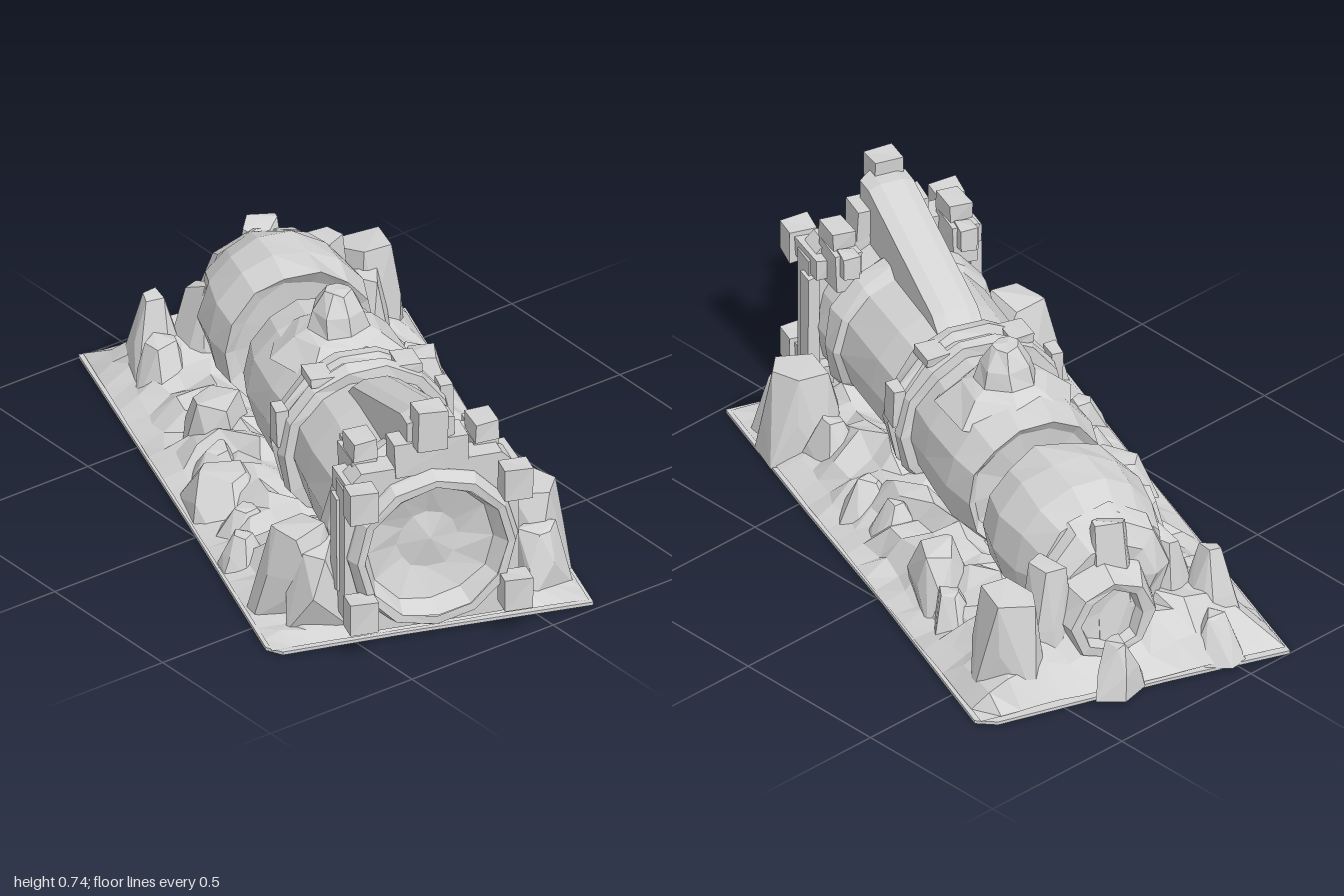
import * as THREE from 'three';
import { ConvexGeometry } from 'three/addons/geometries/ConvexGeometry.js';

const stone = new THREE.MeshStandardMaterial({ color: 0xd4d4d4, flatShading: true, side: THREE.DoubleSide });
stone.name = 'grey stone';

// Repeatable noise in -1..1 from a position
function noise(x, y, z) {
  const s = Math.sin(x * 127.1 + y * 311.7 + z * 74.7) * 43758.5453;
  return (s - Math.floor(s)) * 2 - 1;
}

// Shifts each vertex a little; matching positions stay together
function roughen(geo, amount) {
  const p = geo.attributes.position;
  for (let i = 0; i < p.count; i++) {
    const [x, y, z] = [p.getX(i), p.getY(i), p.getZ(i)].map(v => Math.round(v * 1000) / 1000 + 0);
    p.setXYZ(i, x + amount * noise(x, y, z), y + amount * noise(z, x, y), z + amount * noise(y, z, x));
  }
  geo.computeVertexNormals();
  return geo;
}

// Ground slopes up from every edge, banks against the cylinder and heaps at the rear
function groundHeight(u, v) {
  const edge = Math.min(u + 0.893, 0.87 - u, 0.478 - Math.abs(v));
  const ramp = Math.min(1, Math.max(0, edge / 0.16));
  const bank = (v < 0 ? 0.09 : 0.05) * Math.max(0, 1 - Math.abs(Math.abs(v) - 0.23) / 0.2);
  const rear = 0.06 * Math.min(1, Math.max(0, (-0.5 - u) / 0.2));
  const front = u > 0.7 ? 0.5 : 1;
  return 0.01 + ramp * front * (0.065 + bank + rear + 0.03 * noise(u, v, 1));
}

const toPoints = list => list.map(p => new THREE.Vector2(p[0], p[1]));

export function createModel() {
  const root = new THREE.Group();
  root.name = 'ruinedCylinder';
  // Everything is laid out along x, then turned to lie diagonally
  const body = new THREE.Group();
  body.name = 'body';
  body.rotation.y = -0.342;
  root.add(body);

  const add = (name, geo, x = 0, y = 0, z = 0) => {
    const mesh = new THREE.Mesh(geo, stone);
    mesh.name = name;
    mesh.position.set(x, y, z);
    body.add(mesh);
  };
  const box = (name, w, h, d, x, y, z) => add(name, roughen(new THREE.BoxGeometry(w, h, d), 0.004), x, y, z);

  // Ground slab with uneven top
  const outline = new THREE.Shape(toPoints([[-0.893, 0.478], [-0.885, 0.1], [-0.893, -0.42], [-0.86, -0.478], [-0.2, -0.47],
    [0.3, -0.478], [0.87, -0.478], [0.865, 0.1], [0.87, 0.44], [0.83, 0.478], [0.1, 0.472]]));
  const slab = new THREE.ExtrudeGeometry(outline, { depth: 0.01, bevelEnabled: false });
  add('groundSlab', slab.rotateX(Math.PI / 2), 0, 0.01, 0);
  const ground = new THREE.PlaneGeometry(1.74, 0.936, 26, 15).rotateX(-Math.PI / 2).translate(-0.012, 0, 0);
  const gp = ground.attributes.position;
  for (let i = 0; i < gp.count; i++) {
    const u = gp.getX(i), v = gp.getZ(i);
    gp.setY(i, groundHeight(u, v));
    if (Math.abs(v) < 0.45 && Math.abs(u) < 0.83) {
      gp.setX(i, u + 0.022 * noise(v, u, 3));
      gp.setZ(i, v + 0.022 * noise(u, v, 5));
    }
  }
  ground.computeVertexNormals();
  add('ground', ground);

  // Turned sections along the axis, profile as [radius, position]
  const turned = (name, sides, rough, y, profile, z = 0) => {
    const geo = new THREE.LatheGeometry(toPoints(profile), sides).rotateZ(-Math.PI / 2);
    add(name, roughen(geo, rough), 0, y, z);
  };
  turned('rearOpening', 8, 0.006, 0.2, [[0, -0.76], [0.09, -0.77], [0.095, -0.815], [0.125, -0.815], [0.155, -0.74], [0.18, -0.64]], -0.03);
  turned('rearShoulder', 9, 0.01, 0.275, [[0, -0.72], [0.13, -0.73], [0.185, -0.7], [0.2, -0.64]]);
  turned('rearSection', 14, 0.008, 0.275, [[0, -0.66], [0.19, -0.66], [0.23, -0.56], [0.238, -0.44], [0.225, -0.33], [0.19, -0.345], [0, -0.37]]);
  turned('middleSection', 14, 0.006, 0.275, [[0, -0.18], [0.185, -0.195], [0.213, -0.215], [0.232, -0.11], [0.232, 0.05], [0.22, 0.18], [0, 0.18]]);
  turned('collar', 14, 0.005, 0.28, [[0.2, 0.16], [0.25, 0.165], [0.26, 0.2], [0.235, 0.21], [0.235, 0.235], [0.26, 0.245], [0.25, 0.285], [0.2, 0.29]]);
  turned('frontSection', 14, 0.006, 0.28, [[0, 0.27], [0.22, 0.28], [0.23, 0.42], [0.228, 0.62], [0.25, 0.64], [0.255, 0.69], [0.235, 0.71], [0.24, 0.82], [0, 0.82]]);
  turned('frontRing', 12, 0.003, 0.28, [[0.2, 0.82], [0.252, 0.84], [0.25, 0.88], [0.235, 0.915], [0.21, 0.915]]);
  turned('frontDish', 12, 0.006, 0.28, [[0.21, 0.915], [0.185, 0.86], [0.09, 0.83], [0, 0.845]]);

  // Squarish plate behind the front ring
  const h = 0.258, c = 0.05;
  const plate = new THREE.Shape(toPoints([[-h + c, -h], [h - c, -h], [h, -h + c], [h, h - c], [h - c, h], [-h + c, h], [-h, h - c], [-h, -h + c]]));
  plate.holes.push(new THREE.Path().absarc(0, 0, 0.21, 0, Math.PI * 2, true));
  const plateGeo = new THREE.ExtrudeGeometry(plate, { depth: 0.08, bevelEnabled: false, curveSegments: 6 });
  add('frontPlate', plateGeo.rotateY(Math.PI / 2), 0.79, 0.288, 0);

  // Corner bolts with their arms, and clamps along the sides
  for (const side of [-1, 1]) {
    for (const y of [0.13, 0.487]) {
      box('cornerBolt', 0.07, 0.1, 0.08, 0.93, y, side * 0.228);
      box('boltArm', 0.16, 0.06, 0.05, 0.83, y, side * 0.228);
    }
    box('sideStrip', 0.05, 0.3, 0.04, 0.8, 0.3, side * 0.25);
    box('topClamp', 0.09, 0.06, 0.07, 0.77, 0.585, side * 0.18);
    box('clampFoot', 0.12, 0.12, 0.08, 0.75, 0.5, side * 0.18);
    box('clampPeg', 0.05, 0.07, 0.05, 0.69, 0.53, side * 0.18);
    box('collarClamp', 0.06, 0.12, 0.04, 0.225, 0.36, side * 0.243);
    box('collarLug', 0.09, 0.03, 0.07, 0.225, 0.498, side * 0.13);
  }

  // Sloping beam on top and the block at its end
  const beam = new THREE.Shape(toPoints([[0.3, 0.47], [0.36, 0.525], [0.8, 0.68], [0.86, 0.68], [0.86, 0.52], [0.7, 0.45]]));
  const beamGeo = new THREE.ExtrudeGeometry(beam, { depth: 0.07, bevelEnabled: true, bevelSegments: 1, bevelSize: 0.015, bevelThickness: 0.035 });
  add('topBeam', beamGeo, 0, 0, -0.035);
  box('beamBracket', 0.09, 0.1, 0.22, 0.83, 0.57, 0);
  box('beamBlock', 0.075, 0.125, 0.09, 0.88, 0.673, 0.01);

  // Domed cap on the middle section
  const dome = new THREE.LatheGeometry(toPoints([[0.2, 0.44], [0.13, 0.505], [0.09, 0.52], [0.075, 0.575], [0.04, 0.63], [0, 0.638]]), 7);
  add('domeCap', roughen(dome, 0.006));

  // Rocks: [x, z, radius, height, taper], placed in turned-out coordinates
  const rocks = [
    [0.52, 0.53, 0.13, 0.31, 0.55], [0.4, 0.48, 0.1, 0.15, 0.35], [0.59, 0.52, 0.11, 0.26, 0.55],
    [0.7, -0.14, 0.115, 0.29, 0.7], [0.79, -0.1, 0.1, 0.2, 0.5], [0.56, -0.14, 0.1, 0.17, 0.3],
    [-0.59, -0.55, 0.1, 0.335, 0.75], [-0.61, -0.42, 0.08, 0.4, 0.65], [-0.52, -0.49, 0.08, 0.28, 0.6],
    [-0.16, -0.41, 0.12, 0.22, 0.45], [-0.27, -0.48, 0.09, 0.15, 0.35], [0.15, -0.29, 0.1, 0.16, 0.25],
    [0.3, -0.25, 0.1, 0.15, 0.25], [-0.33, 0.17, 0.095, 0.19, 0.75], [-0.07, 0.35, 0.125, 0.13, 0.55],
    [-0.19, 0.28, 0.09, 0.13, 0.4], [0.22, 0.5, 0.07, 0.11, 0.4], [0.1, 0.4, 0.09, 0.11, 0.35],
    [-0.76, 0.07, 0.1, 0.3, 0.3], [-0.68, 0.1, 0.1, 0.19, 0.4], [-0.67, -0.02, 0.09, 0.34, 0.4],
    [-0.8, -0.33, 0.08, 0.17, 0.4], [-0.66, -0.23, 0.1, 0.48, 0.5], [-0.86, -0.01, 0.08, 0.14, 0.4],
  ];
  const cos = Math.cos(0.342), sin = Math.sin(0.342);
  rocks.forEach(([x, z, r, top, taper], n) => {
    const pts = [];
    for (let ring = 0; ring < 3; ring++) {
      const t = ring / 2, rr = r * (1 - (1 - taper) * t);
      for (let k = 0; k < 5; k++) {
        const a = (k + n * 0.37 + 0.5 * noise(n, k, ring)) / 5 * Math.PI * 2;
        const s = rr * (1.08 + 0.15 * noise(k, n, ring));
        const y = t * top * (1 - 0.11 * (1 + noise(ring, k, n)) / 2);
        pts.push(new THREE.Vector3(Math.cos(a) * s, y + 0.006, Math.sin(a) * s));
      }
    }
    add('rock', new ConvexGeometry(pts), x * cos + z * sin, 0, z * cos - x * sin);
  });

  return root;
}
